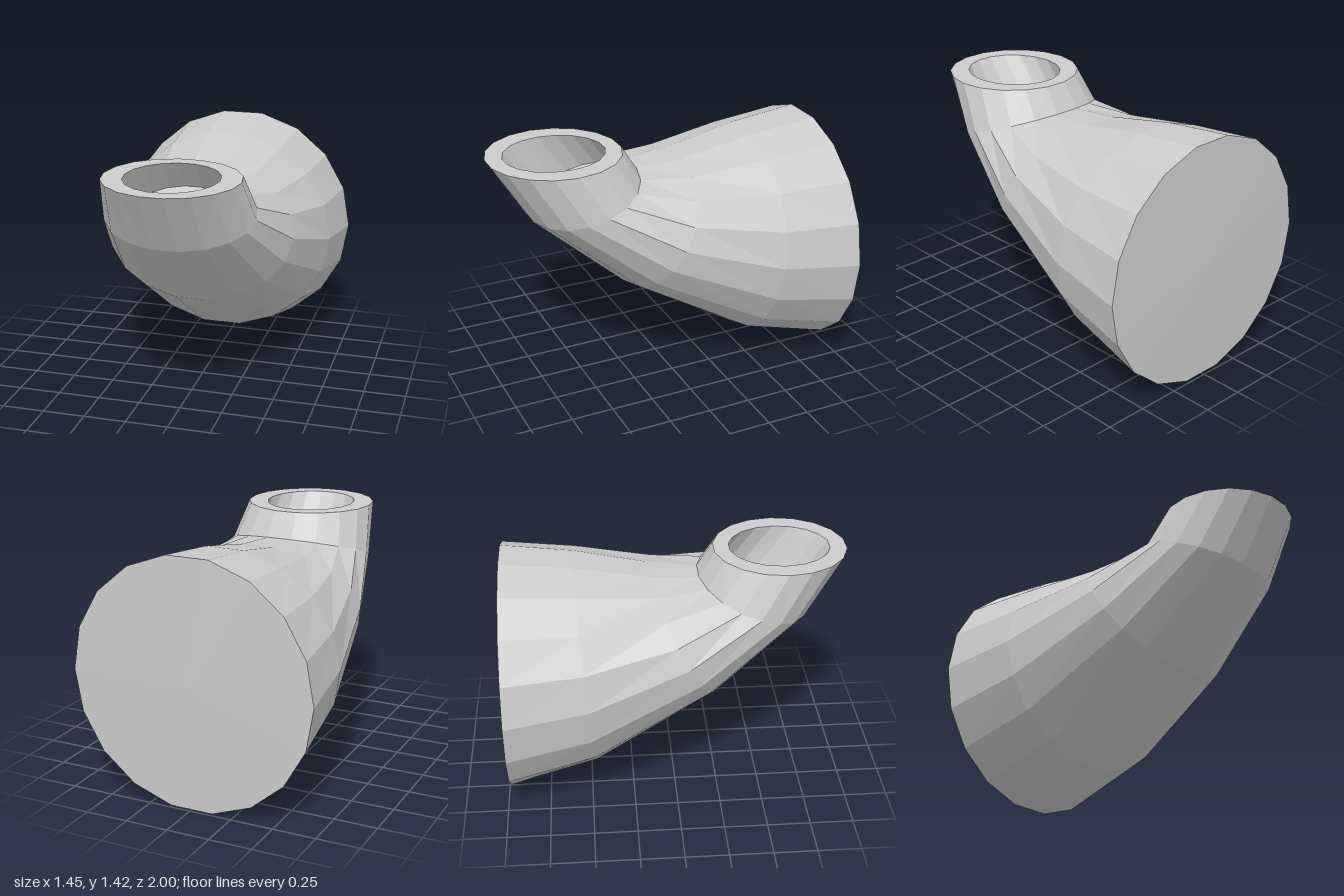
import * as THREE from 'three';

const SIDES = 18;
const FLAT = Math.cos(Math.PI / SIDES); // the rings have flats at top and bottom

// Elliptical cross-section given by its upper and lower edge in the z/y plane and its half width.
function ring([topZ, topY, lowZ, lowY, halfWidth]) {
  const cz = (topZ + lowZ) / 2, cy = (topY + lowY) / 2;
  const dz = (topZ - lowZ) / 2 / FLAT, dy = (topY - lowY) / 2 / FLAT;
  return Array.from({ length: SIDES }, (_, i) => {
    const a = (i / SIDES) * Math.PI * 2, s = Math.sin(a);
    return new THREE.Vector3(halfWidth * Math.cos(a), cy + dy * s, cz + dz * s);
  });
}

// Faceted skin through a series of rings.
function loft(sections) {
  const rings = sections.map(ring), tris = [];
  for (let r = 0; r < rings.length - 1; r++) {
    for (let i = 0; i < SIDES; i++) {
      const j = (i + 1) % SIDES;
      const a = rings[r][i], b = rings[r][j], c = rings[r + 1][j], d = rings[r + 1][i];
      // mirror the diagonals across the middle plane
      if (a.x + b.x > 0) tris.push(a, b, c, a, c, d);
      else tris.push(a, b, d, b, c, d);
    }
  }
  return tris;
}

// Fan that closes a ring at a centre point.
function cap(section, centre, reversed) {
  const pts = ring(section), tris = [];
  for (let i = 0; i < SIDES; i++) {
    const a = pts[i], b = pts[(i + 1) % SIDES];
    tris.push(...(reversed ? [b, a, centre] : [a, b, centre]));
  }
  return tris;
}

export function createModel() {
  const group = new THREE.Group();
  group.name = 'curvedSpout';
  const material = new THREE.MeshStandardMaterial({ color: 0xcccccc, flatShading: true });

  function add(name, tris) {
    const geometry = new THREE.BufferGeometry().setFromPoints(tris);
    geometry.computeVertexNormals();
    const mesh = new THREE.Mesh(geometry, material);
    mesh.name = name;
    group.add(mesh);
  }

  // topZ, topY, lowZ, lowY, halfWidth
  const base = [-0.98, 1.43, -0.98, 0.005, 0.723];
  const rimOuter = [0.24, 1.43, 1.0, 1.43, 0.385];
  const rimInner = [0.33, 1.43, 0.905, 1.43, 0.265];
  const floor = [0.2, 1.26, 0.68, 1.1, 0.29];

  // Bent, tapering outer body
  add('body', loft([
    base,
    [-0.56, 1.385, -0.46, 0.16, 0.675],
    [-0.13, 1.305, 0.25, 0.595, 0.56],
    [0.15, 1.285, 0.78, 1.07, 0.435],
    rimOuter,
  ]));

  // Slightly domed back face
  add('backCap', cap(base, new THREE.Vector3(0, 0.718, -1), true));

  // Flat lip, slanted socket wall and its floor
  add('rim', loft([rimOuter, rimInner]));
  add('socketWall', loft([rimInner, floor]));
  add('socketFloor', cap(floor, new THREE.Vector3(0, 1.18, 0.44), false));

  return group;
}
